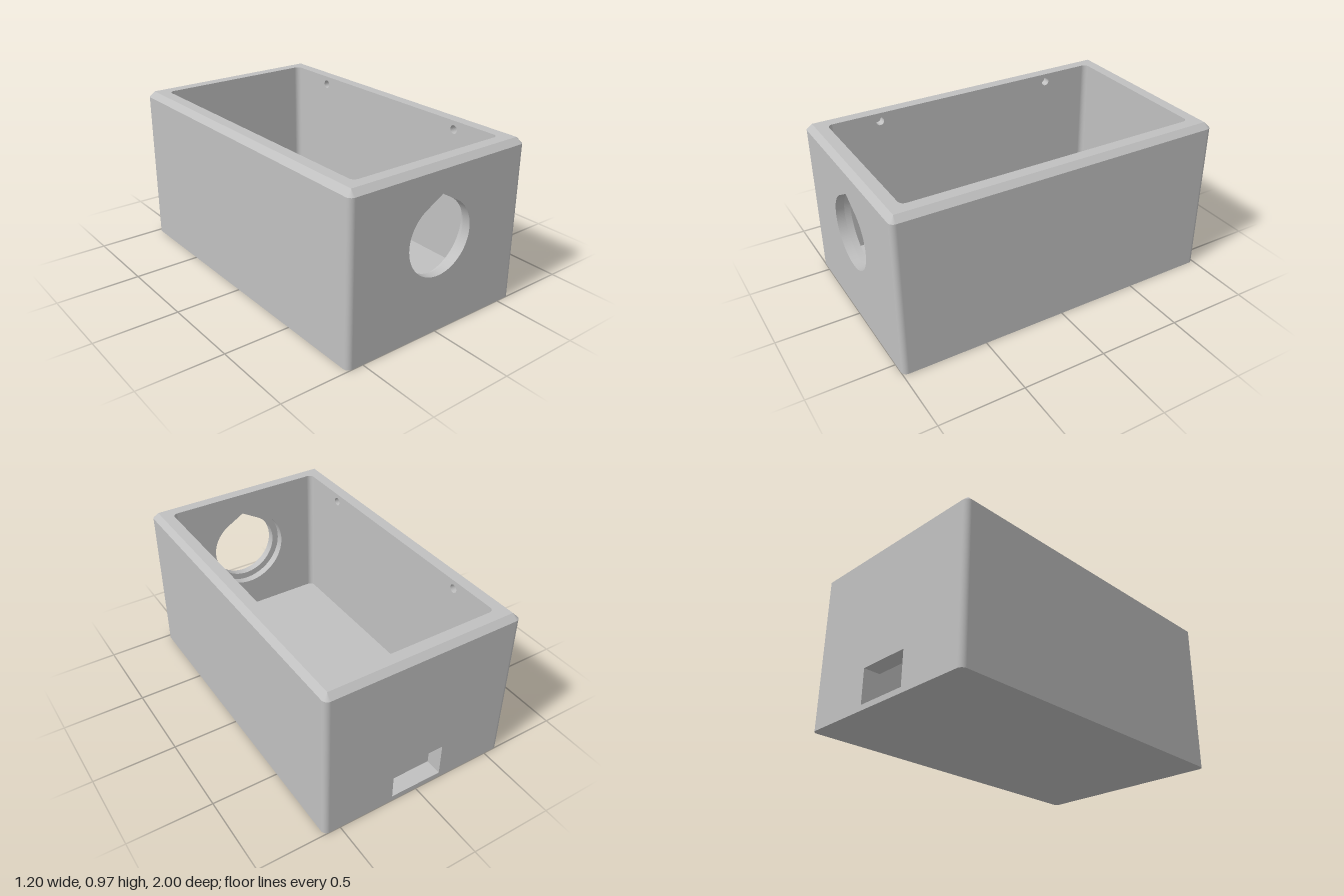
import * as THREE from 'three';

const W = 0.6, L = 1, H = 0.967, C = 0.033;   // half width, half length, height, chamfer and corner radius
const T = 0.1, IN = W - T, IL = L - T;        // wall thickness and inner half sizes
const EDGE = H - C;                           // height where the chamfer starts
const PI = Math.PI;

function rect(x0, y0, x1, y1, Type = THREE.Shape) {
  return new Type([[x0, y0], [x1, y0], [x1, y1], [x0, y1]].map(p => new THREE.Vector2(...p)));
}

// Round bore with a 60 degree roof
function teardrop(r, cy) {
  const p = new THREE.Path();
  p.absarc(0, cy, r, PI * 2 / 3, PI * 7 / 3, false);
  p.lineTo(0, cy + r / Math.cos(PI / 6));
  p.closePath();
  return p;
}

function extrude(shape, depth, curveSegments = 16) {
  return new THREE.ExtrudeGeometry(shape, { depth, curveSegments, bevelEnabled: false });
}

// Extrude a plan shape upwards from y0 to y1
function upright(shape, y0, y1) {
  return extrude(shape, y1 - y0).rotateX(-PI / 2).translate(0, y0, 0);
}

// Pull the top outer edge inwards to make the chamfer
function chamfer(geo) {
  const p = geo.attributes.position;
  for (let i = 0; i < p.count; i++) {
    if (p.getY(i) < H - C / 2) continue;
    p.setX(i, THREE.MathUtils.clamp(p.getX(i), -W + C, W - C));
    p.setZ(i, THREE.MathUtils.clamp(p.getZ(i), -L + C, L - C));
  }
  geo.computeVertexNormals();
  return geo;
}

// Plan of one long wall with its two rounded corners
function sidePlan() {
  const s = new THREE.Shape(), m = IN + T / 2;
  s.moveTo(IN - C, L);
  s.lineTo(W - C, L);
  s.absarc(W - C, L - C, C, PI / 2, 0, true);
  s.lineTo(W, -L + C);
  s.absarc(W - C, -L + C, C, 0, -PI / 2, true);
  s.lineTo(IN - C, -L);
  s.lineTo(IN - C, -IL);
  s.absarc(IN - C, -IL + C, C, -PI / 2, 0, false);
  s.lineTo(m, -IL + C);
  s.lineTo(m, IL - C);
  s.lineTo(IN, IL - C);
  s.absarc(IN - C, IL - C, C, 0, PI / 2, false);
  s.closePath();
  return s;
}

export function createModel() {
  const model = new THREE.Group();
  model.name = 'enclosure';
  const grey = new THREE.MeshStandardMaterial({ color: 0xc0c0c0 });
  grey.name = 'grey plastic';

  const add = (name, geo, turn = 0) => {
    const mesh = new THREE.Mesh(geo, grey);
    mesh.name = name;
    mesh.rotation.y = turn;
    model.add(mesh);
  };

  // Floor
  add('floor', new THREE.BoxGeometry(IN * 2, T, IL * 2).translate(0, T / 2, 0));

  // Inner half of a long wall, with two blind screw holes
  const linerShape = rect(-IL + C, 0, IL - C, H);
  for (const z of [-0.58, 0.58]) {
    linerShape.holes.push(new THREE.Path().absarc(z, 0.915, 0.025, 0, PI * 2, false));
  }
  const liner = extrude(linerShape, T / 2, 24).rotateY(PI / 2).translate(IN, 0, 0);

  // Long walls and the long and short parts of the chamfered rim
  const side = upright(sidePlan(), 0, EDGE);
  const sideRim = chamfer(upright(sidePlan(), EDGE, H));
  const endRim = chamfer(upright(rect(-IN + C, -L, IN - C, -IL), EDGE, H));
  ['left', 'right'].forEach((s, i) => {
    add(s + 'Wall', side, i * PI);
    add(s + 'WallLiner', liner, i * PI);
    add(s + 'Rim', sideRim, i * PI);
    add(['front', 'back'][i] + 'Rim', endRim, i * PI);
  });

  // Front wall in two layers: a teardrop bore, wider on the inside
  [['frontWallInner', 0.257, IL], ['frontWallOuter', 0.215, IL + T / 2]].forEach(([name, r, z]) => {
    const s = rect(-IN + C, 0, IN - C, EDGE);
    s.holes.push(teardrop(r, 0.553));
    add(name, extrude(s, T / 2, 64).translate(0, 0, z));
  });

  // Back wall with the connector slot
  const back = rect(-IN + C, 0, IN - C, EDGE);
  back.holes.push(rect(-0.162, 0.033, 0.162, 0.24, THREE.Path));
  add('backWall', extrude(back, T).translate(0, 0, -L));

  return model;
}
